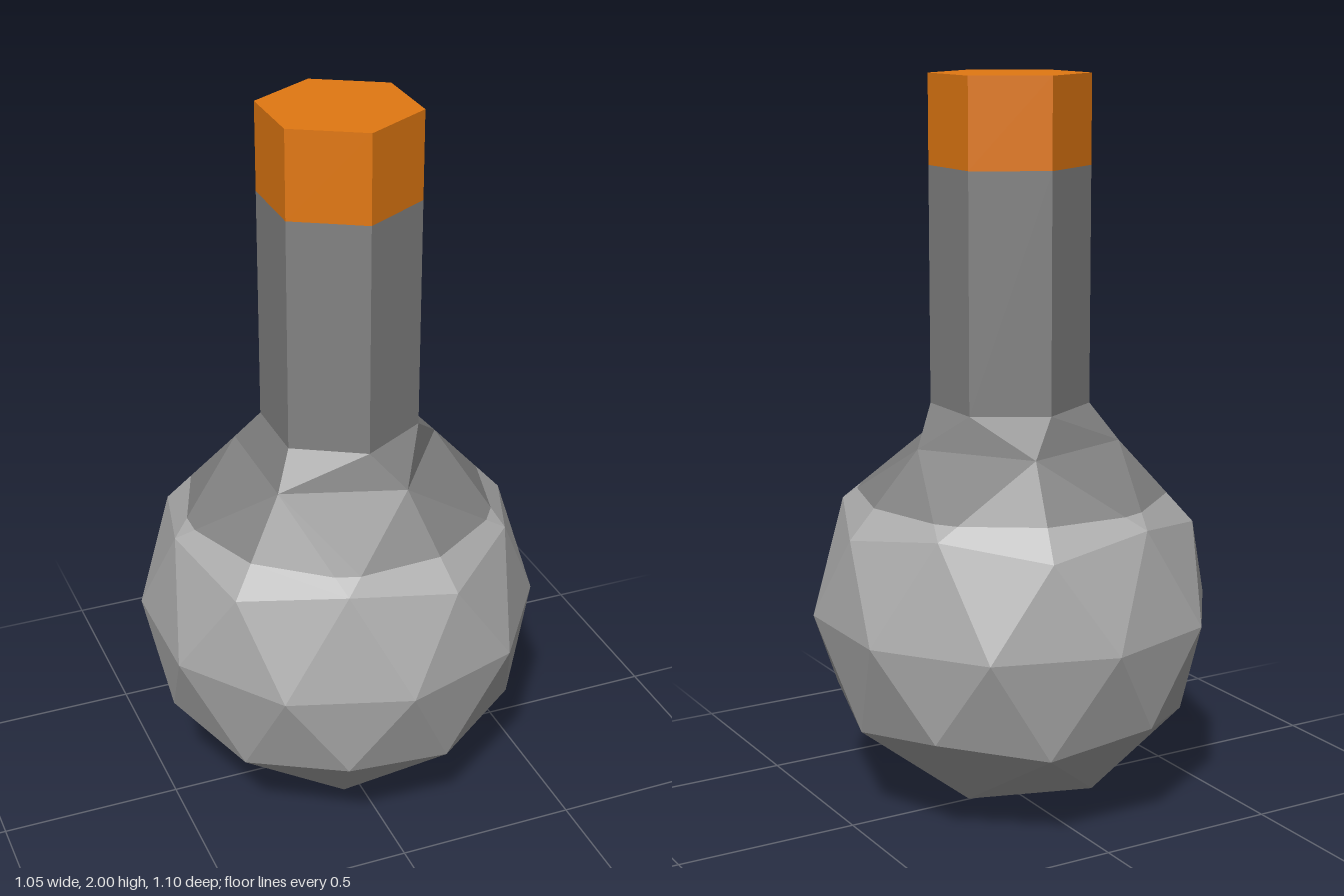
import * as THREE from 'three';

const R = 0.551, CY = 0.555;        // bulb radius and centre height
const CUT = 0.88;                   // height where the colour changes
const NECK_R = 0.215, NECK_Y = 1.12, TIP_Y = 1.76, TOP_Y = 2, OFF = 0.004;

// Point at azimuth (degrees), radius and height
const at = (deg, r, y, off = 0) => {
  const a = THREE.MathUtils.degToRad(deg);
  return new THREE.Vector3(Math.cos(a) * r + off, y, Math.sin(a) * r + off);
};
// Ring of the faceted ball at a given latitude (degrees)
const ring = (lat) => (deg) => {
  const l = THREE.MathUtils.degToRad(lat);
  return at(deg, R * Math.cos(l), CY + R * Math.sin(l));
};

// Keep the part of each triangle above (sign 1) or below (sign -1) the cut height
function clip(tris, sign) {
  const out = [];
  for (const t of tris) {
    const poly = [];
    t.forEach((p, i) => {
      const q = t[(i + 1) % 3];
      const dp = (p.y - CUT) * sign, dq = (q.y - CUT) * sign;
      if (dp >= 0) poly.push(p);
      if (dp * dq < 0) poly.push(p.clone().lerp(q, dp / (dp - dq)));
    });
    for (let i = 1; i + 1 < poly.length; i++) out.push([poly[0], poly[i], poly[i + 1]]);
  }
  return out;
}

function facets(tris) {
  const g = new THREE.BufferGeometry().setFromPoints(tris.flat());
  g.computeVertexNormals();
  return g;
}

export function createModel() {
  const material = (name, color) => {
    const m = new THREE.MeshStandardMaterial({ color, flatShading: true });
    m.name = name;
    return m;
  };
  const darkGrey = material('darkGrey', 0x828282);
  const lightGrey = material('lightGrey', 0xacacac);
  const orange = material('orange', 0xe27812);

  const group = new THREE.Group();
  group.name = 'flask';
  const add = (name, geometry, mat) => {
    const mesh = new THREE.Mesh(geometry, mat);
    mesh.name = name;
    group.add(mesh);
    return mesh;
  };

  // Bulb: five repeated sectors of a faceted ball, open at the top
  const P = ring(58.28), V = ring(26.57), M = ring(31.72), E = ring(0);
  const N = ring(-31.72), L = ring(-26.57), Q = ring(-58.28), S = ring(-90);
  const ball = [];
  for (let a = 0; a < 360; a += 72) {
    ball.push(
      [V(a), P(a), M(a + 36)], [M(a - 36), P(a), V(a)], [M(a + 36), P(a), P(a + 72)],
      [E(a - 18), V(a), E(a + 18)], [E(a + 18), V(a), M(a + 36)],
      [E(a + 18), M(a + 36), E(a + 54)], [E(a + 54), M(a + 36), V(a + 72)],
      [N(a), E(a - 18), E(a + 18)], [N(a), E(a + 18), L(a + 36)],
      [L(a + 36), E(a + 18), E(a + 54)], [L(a + 36), E(a + 54), N(a + 72)],
      [Q(a + 36), N(a), L(a + 36)], [Q(a + 36), L(a + 36), N(a + 72)],
      [Q(a - 36), N(a), Q(a + 36)], [S(0), Q(a - 36), Q(a + 36)]
    );
  }
  add('bulb', facets(clip(ball, -1)), lightGrey);

  // Shoulder: top of the bulb, joined from its five corners to the six of the neck
  const H = (deg) => at(deg, NECK_R, NECK_Y, OFF);
  const collar = [];
  [-30, 30, 90, 150, 210, 270].forEach((h, i) => {
    const p = [0, 72, 144, 144, 216, 288][i];
    collar.push([P(p), H(h), H(h + 60)]);
    if (i !== 2) collar.push([P(p), H(h + 60), P(p + 72)]);
  });
  add('shoulder', facets([...clip(ball, 1), ...collar]), darkGrey);

  // Six-sided neck and its coloured tip
  const tube = (name, y0, y1, open, mat) => {
    const g = new THREE.CylinderGeometry(NECK_R, NECK_R, y1 - y0, 6, 1, open);
    add(name, g, mat).position.set(OFF, (y0 + y1) / 2, OFF);
  };
  tube('neck', NECK_Y, TIP_Y, true, darkGrey);
  tube('tip', TIP_Y, TOP_Y, false, orange);

  return group;
}
